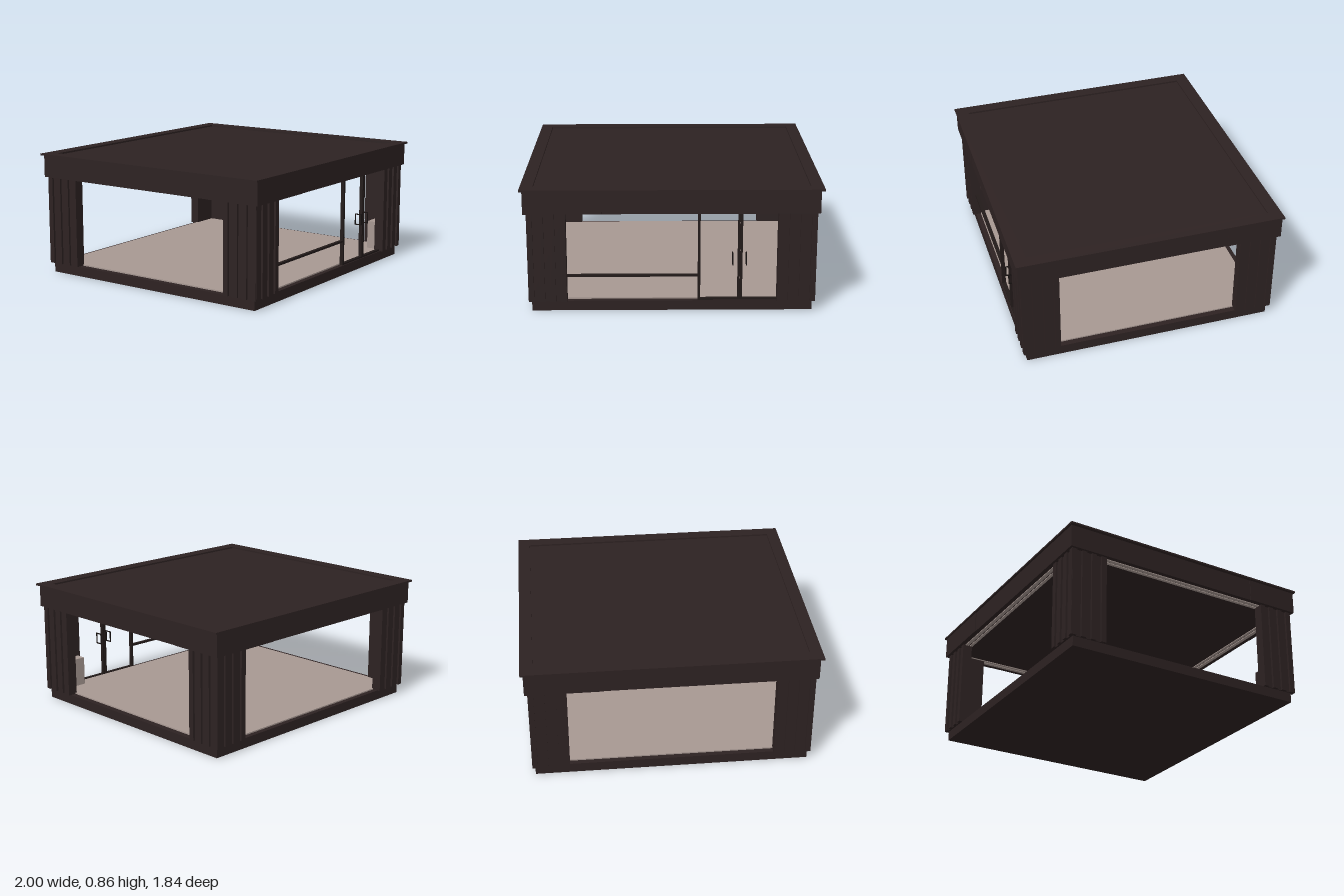
import * as THREE from 'three';

const mat = (name, color) => {
  const m = new THREE.MeshStandardMaterial({ color });
  m.name = name;
  return m;
};

export function createModel() {
  const cladding = mat('dark brown cladding', 0x2d2222);
  const frame = mat('dark frame', 0x221a19);
  const metal = mat('black metal', 0x15100f);
  const timber = mat('pale floor', 0xa79892);

  const model = new THREE.Group();
  model.name = 'pavilion';

  // Box given by its lower and upper limits on each axis
  const box = (parent, name, material, [x0, x1], [y0, y1], [z0, z1]) => {
    const mesh = new THREE.Mesh(new THREE.BoxGeometry(x1 - x0, y1 - y0, z1 - z0), material);
    mesh.position.set((x0 + x1) / 2, (y0 + y1) / 2, (z0 + z1) / 2);
    mesh.name = name;
    parent.add(mesh);
    return mesh;
  };
  const group = (name) => {
    const g = new THREE.Group();
    g.name = name;
    model.add(g);
    return g;
  };

  // Horizontal rectangular ring, extruded upward from y0 to y1
  const ring = (name, material, ox, oz, ix, iz, y0, y1) => {
    const rect = (P, x, z) => {
      const p = new P();
      p.moveTo(-x, -z).lineTo(x, -z).lineTo(x, z).lineTo(-x, z).closePath();
      return p;
    };
    const shape = rect(THREE.Shape, ox, oz);
    shape.holes.push(rect(THREE.Path, ix, iz));
    const geo = new THREE.ExtrudeGeometry(shape, { depth: y1 - y0, bevelEnabled: false });
    geo.rotateX(-Math.PI / 2);
    const mesh = new THREE.Mesh(geo, material);
    mesh.position.y = y0;
    mesh.name = name;
    model.add(mesh);
  };

  // Base and floor
  box(model, 'base', cladding, [-0.94, 0.94], [0, 0.068], [-0.865, 0.865]);
  box(model, 'floor', timber, [-0.9, 0.9], [0.068, 0.077], [-0.83, 0.83]);

  // Roof: fascia boards, overhanging rim, sunken deck and ceiling
  ring('fascia', cladding, 0.976, 0.906, 0.95, 0.88, 0.69, 0.845);
  ring('roofRim', cladding, 1, 0.92, 0.915, 0.83, 0.845, 0.857);
  box(model, 'roofDeck', cladding, [-0.955, 0.955], [0.8, 0.835], [-0.885, 0.885]);
  box(model, 'ceiling', cladding, [-0.955, 0.955], [0.693, 0.71], [-0.885, 0.885]);

  // Overlapping short fascia boards, one on each side
  const boards = group('fasciaLaps');
  for (const s of [1, -1]) {
    const span = (a, b) => (s > 0 ? [a, b] : [-b, -a]);
    box(boards, 'lapBoard', cladding, span(-0.98, -0.46), [0.69, 0.845], span(0.9, 0.91));
    box(boards, 'lapBoard', cladding, span(0.97, 0.98), [0.69, 0.845], span(-0.91, -0.53));
  }

  // Pale ceiling tracks around the openings
  ring('outerCeilingTrack', timber, 0.94, 0.872, 0.915, 0.847, 0.687, 0.694);
  ring('innerCeilingTrack', timber, 0.905, 0.837, 0.885, 0.817, 0.687, 0.694);

  // Corner columns: L-shaped core clad in vertical battens
  for (const sx of [-1, 1]) for (const sz of [-1, 1]) {
    const g = group('cornerColumn');
    const rx = (a, b) => (sx > 0 ? [a, b] : [-b, -a]);
    const rz = (a, b) => (sz > 0 ? [a, b] : [-b, -a]);
    const height = [0.069, 0.692];
    box(g, 'columnCore', cladding, rx(0.703, 0.945), height, rz(0.82, 0.876));
    box(g, 'columnCore', cladding, rx(0.89, 0.945), height, rz(0.631, 0.82));
    for (let i = 0; i < 4; i++) {
      const a = 0.703 + i * 0.073, b = 0.631 + i * 0.073;
      box(g, 'batten', cladding, rx(a, Math.min(a + 0.037, 0.958)), height, rz(0.87, 0.89));
      box(g, 'batten', cladding, rx(0.938, 0.96), height, rz(b, b + 0.037));
    }
  }

  // Low cabinets tucked behind the front columns
  box(model, 'rightCabinet', cladding, [-0.885, -0.72], [0.077, 0.28], [0.74, 0.82]);
  box(model, 'leftCabinet', timber, [0.72, 0.885], [0.077, 0.28], [0.75, 0.82]);

  // Front window rail and door frame
  const z = [0.835, 0.86];
  box(model, 'windowRail', frame, [-0.705, 0.172], [0.236, 0.25], z);
  const door = group('doorFrame');
  box(door, 'doorPost', frame, [0.172, 0.189], [0.069, 0.692], z);
  box(door, 'doorHeader', frame, [0.189, 0.703], [0.676, 0.692], z);
  box(door, 'doorSill', frame, [0.172, 0.703], [0.069, 0.081], z);
  box(door, 'doorStile', frame, [0.438, 0.453], [0.08, 0.68], z);
  box(door, 'doorStile', frame, [0.455, 0.47], [0.08, 0.68], z);

  // Looped pull handles
  for (const x of [0.405, 0.496]) {
    const g = group('doorHandle');
    const w = [x - 0.003, x + 0.003];
    for (const zz of [0.82, 0.868]) box(g, 'handleBar', metal, w, [0.318, 0.4], [zz, zz + 0.007]);
    for (const y of [0.318, 0.393]) box(g, 'handleArm', metal, w, [y, y + 0.007], [0.82, 0.875]);
  }

  return model;
}
